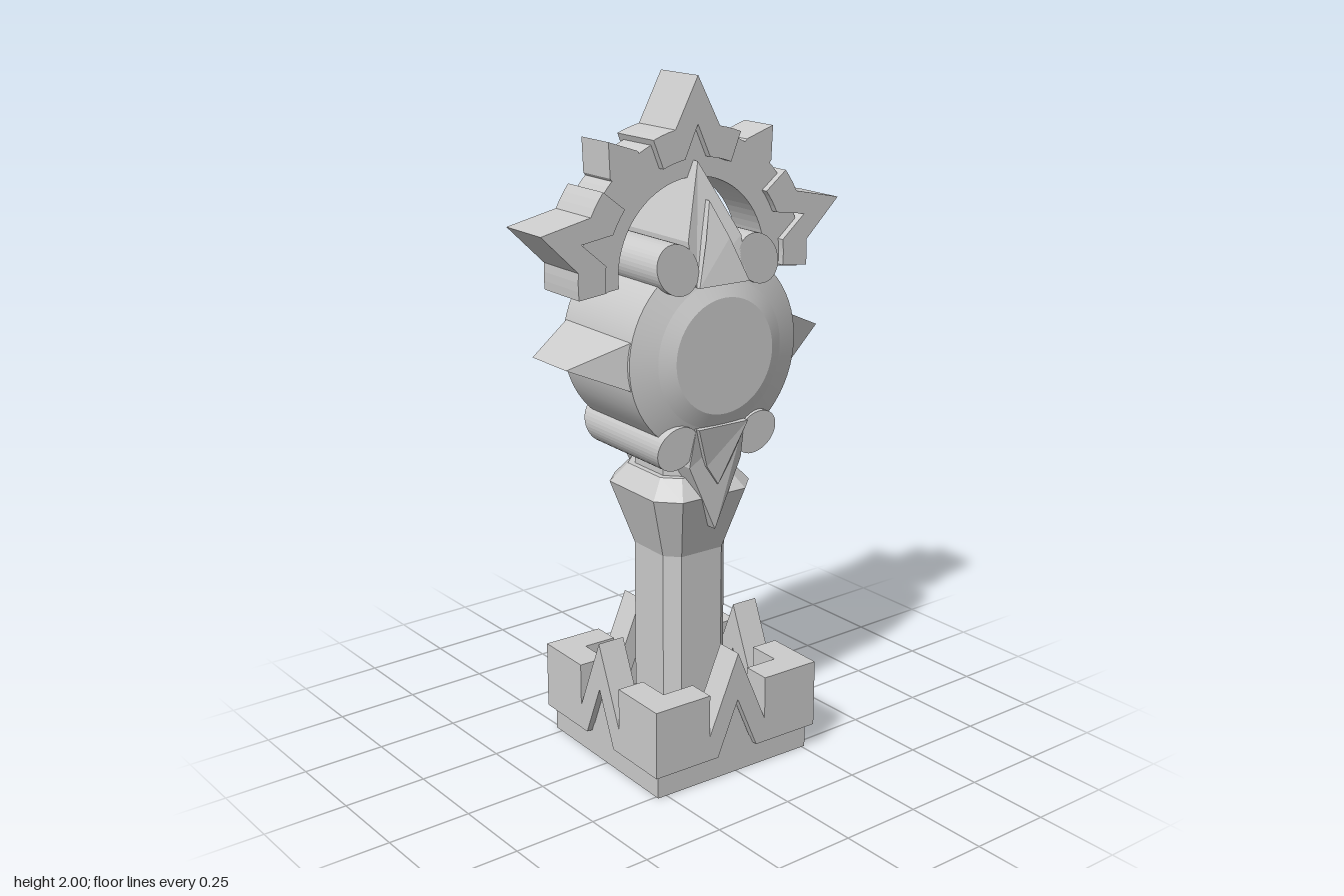
import * as THREE from 'three';

const flat = new THREE.MeshStandardMaterial({ color: 0xcccccc, flatShading: true });
const smooth = new THREE.MeshStandardMaterial({ color: 0xcccccc });

function add(parent, name, geometry, material = flat) {
  const mesh = new THREE.Mesh(geometry, material);
  mesh.name = name;
  parent.add(mesh);
  return mesh;
}

// Prism of an outline, centred on its own depth
function prism(points, depth, curveSegments = 12) {
  const shape = points instanceof THREE.Shape ? points : new THREE.Shape(points.map(p => new THREE.Vector2(...p)));
  const g = new THREE.ExtrudeGeometry(shape, { depth, bevelEnabled: false, curveSegments });
  return g.translate(0, 0, -depth / 2);
}

// Move every vertex of a geometry by a rule
function reshape(g, rule) {
  const p = g.attributes.position, v = new THREE.Vector3();
  for (let i = 0; i < p.count; i++) {
    rule(v.fromBufferAttribute(p, i));
    p.setXYZ(i, v.x, v.y, v.z);
  }
  g.computeVertexNormals();
  return g;
}

// Polar point, angle in degrees from straight up
function polar(r, deg) {
  const a = THREE.MathUtils.degToRad(deg);
  return [r * Math.sin(a), r * Math.cos(a)];
}

// Points on an arc from angle a to angle b
function arc(r, a, b, n) {
  return Array.from({ length: n + 1 }, (_, i) => polar(r, a + (b - a) * i / n));
}

function buildBase(root) {
  const base = new THREE.Group();
  base.name = 'base';
  root.add(base);
  add(base, 'plinth', new THREE.BoxGeometry(0.54, 0.1, 0.54)).position.y = 0.05;
  for (let i = 0; i < 4; i++) {
    const side = new THREE.Group();
    side.name = 'baseSide';
    side.rotation.y = i * Math.PI / 2;
    base.add(side);
    // Alternate walls are shorter so that the corners butt together
    const w = i % 2 ? 0.203 : 0.288;
    const wall = add(side, 'spikedWall', prism([
      [-w, 0.075], [-0.07, 0.075], [0, 0.24], [0.07, 0.075], [w, 0.075], [w, 0.28],
      [0.1, 0.28], [0.1, 0.15], [0, 0.385], [-0.1, 0.15], [-0.1, 0.28], [-w, 0.28]], 0.085));
    wall.position.z = 0.2455;
    const inset = add(side, 'wallInset', prism([[-0.07, 0.07], [0.07, 0.07], [0, 0.235]], 0.06));
    inset.position.z = 0.24;
  }
}

function buildColumn(root) {
  // Chamfered square section, scaled level by level: [height, half width]
  const levels = [[0.08, 0.11], [0.64, 0.11], [0.83, 0.17], [0.885, 0.125], [0.885, 0.108], [1.05, 0.108]];
  const k = 0.65;
  const section = new THREE.Shape([[1, -k], [1, k], [k, 1], [-k, 1], [-1, k], [-1, -k], [-k, -1], [k, -1]]
    .map(p => new THREE.Vector2(...p)));
  const n = levels.length - 1;
  const g = new THREE.ExtrudeGeometry(section, { depth: n, steps: n, bevelEnabled: false });
  add(root, 'column', reshape(g, v => {
    const [y, s] = levels[Math.round(v.z)];
    v.set(v.x * s, y, -v.y * s);
  }));
}

// Half thickness of the head at a distance above its centre
function headHalf(d) {
  return d < 0.32 ? 0.2 - 0.27 * (d - 0.19) : 0.165 - 0.4 * (d - 0.32);
}

function buildHead(root) {
  // Local x runs along the model's z, local z across its width
  const head = new THREE.Group();
  head.name = 'head';
  head.position.y = 1.25;
  head.rotation.y = Math.PI / 2;
  root.add(head);

  // Drum with a stepped boss on both faces, each band smooth around its axis
  const half = [[0, 0.215], [0.165, 0.215], [0.21, 0.193], [0.285, 0.165]];
  const profile = [...half, ...half.map(([r, z]) => [r, -z]).reverse()].reverse();
  for (let i = 0; i < profile.length - 1; i++) {
    const band = [profile[i], profile[i + 1]].map(p => new THREE.Vector2(...p));
    add(head, 'drumBand', new THREE.LatheGeometry(band, 64).rotateX(Math.PI / 2), smooth);
  }

  // Front and back spikes, thinning towards the tip
  for (const s of [1, -1]) {
    const g = prism([[-0.075, 0.26], [0.075, 0.26], [0, 0.435]], 2);
    add(head, 'sideSpike', reshape(g, v => {
      v.z *= 0.168 - 0.083 * Math.max(0, (v.y - 0.26) / 0.175);
    })).rotation.z = s * Math.PI / 2;
  }

  // Upper and lower spikes, each with a raised plate, between pairs of scrolls
  for (const up of [true, false]) {
    const end = new THREE.Group();
    end.name = up ? 'upperEnd' : 'lowerEnd';
    end.rotation.z = up ? 0 : Math.PI;
    head.add(end);
    const thick = d => up ? headHalf(d) : Math.max(headHalf(d), 0.173);
    add(end, 'longSpike', reshape(
      prism([[-0.085, 0.2], [0.085, 0.2], [0.09, 0.32], [0, 0.52], [-0.09, 0.32]], 2),
      v => { v.z *= thick(v.y); }));
    const tip = up ? 0.42 : 0.38;
    add(end, 'spikePlate', reshape(
      prism([[-0.085, 0.2], [0.085, 0.2], [0.04, 0.32], [0, tip], [-0.04, 0.32]], 2),
      v => { v.z *= thick(v.y) + 0.014; }));
    for (const s of [1, -1]) {
      const circle = new THREE.Shape().absarc(s * 0.137, 0.252, 0.068, 0, Math.PI * 2);
      const g = prism(circle, 2, 20);
      const p = g.attributes.position;
      for (let i = 0; i < p.count; i++) p.setZ(i, p.getZ(i) * headHalf(p.getY(i)));
      add(end, 'scroll', g, smooth);
    }
  }
}

function buildHalo(root) {
  const halo = new THREE.Group();
  halo.name = 'halo';
  halo.position.y = 1.475;
  halo.rotation.y = Math.PI / 2;
  root.add(halo);

  // Open ring
  add(halo, 'haloRing', prism([...arc(0.375, -97, 97, 40), ...arc(0.25, 97, -97, 40)], 0.13));

  // Wide crests with a notched inner edge
  for (const deg of [-74, 0, 74]) {
    add(halo, 'haloCrest', prism([
      ...arc(0.392, -22, -11, 3), [0, 0.525], ...arc(0.392, 11, 22, 3),
      ...arc(0.305, 22, 8, 4), [0, 0.395], ...arc(0.305, -8, -22, 4)], 0.172))
      .rotation.z = THREE.MathUtils.degToRad(deg);
  }
  // Narrow spikes between the crests
  for (const deg of [-37, 37]) {
    add(halo, 'haloSpike', prism([[-0.055, 0.34], [0.055, 0.34], [0.055, 0.38], [0, 0.46], [-0.055, 0.38]], 0.13))
      .rotation.z = THREE.MathUtils.degToRad(deg);
  }
}

export function createModel() {
  const root = new THREE.Group();
  root.name = 'ornament';
  root.rotation.y = -0.035;
  buildBase(root);
  buildColumn(root);
  buildHead(root);
  buildHalo(root);
  return root;
}
